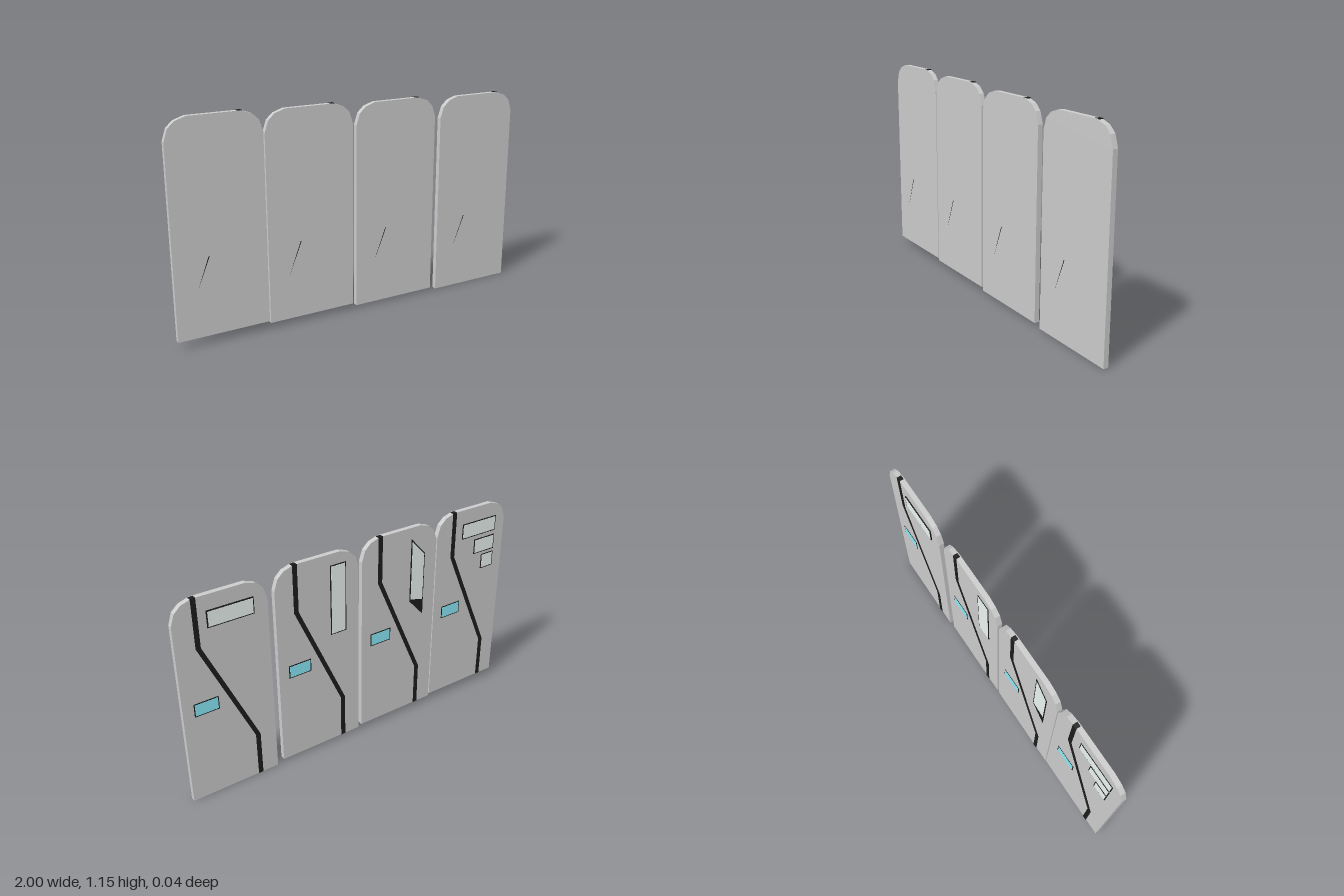
import * as THREE from 'three';

const WIDTH = 0.484, HEIGHT = 1.103, FRONT = 0.015, BACK = -0.012;

const mat = (color) => new THREE.MeshStandardMaterial({ color, flatShading: true });

// Flat slab from outline points [x, y], reaching from z0 to z1
function slab(name, points, z0, z1, material) {
  const shape = new THREE.Shape(points.map(([x, y]) => new THREE.Vector2(x, y)));
  const geometry = new THREE.ExtrudeGeometry(shape, { depth: z1 - z0, bevelEnabled: false });
  geometry.translate(0, 0, z0);
  const mesh = new THREE.Mesh(geometry, material);
  mesh.name = name;
  return mesh;
}

// Rectangle measured from the door's left edge (x = 0, running to -x)
const rect = (u0, u1, y0, y1) => [[-u1, y0], [-u0, y0], [-u0, y1], [-u1, y1]];

// Shrink a rectangle by a margin on all sides
const inset = ([[x0, y0], , [x1, y1]], m) => rect(-x1 + m, -x0 - m, y0 + m, y1 - m);

export function createModel() {
  const model = new THREE.Group();
  model.name = 'doorPanels';
  const grey = mat(0xcccccc), black = mat(0x1c1c1c);
  const glass = mat(0xeaf5f1), teal = mat(0x89eaf8);

  // Door outline with faceted round top corners
  const corner = [[0, 0.11], [0.02, 0.05], [0.055, 0.018], [0.11, 0]];
  const outline = [
    [-WIDTH, 0], [0, 0],
    ...corner.map(([x, d]) => [-x, HEIGHT - d]),
    ...corner.map(([x, d]) => [x - WIDTH, HEIGHT - d]).reverse(),
  ];

  // Cranked stripe running from top to bottom
  const path = [[-0.114, HEIGHT + 0.001], [-0.114, 0.847], [-0.381, 0.247], [-0.381, 0.001]];
  const half = 0.0125;
  const stripe = [
    ...path.map(([x, y]) => [x - half, y]),
    ...path.map(([x, y]) => [x + half, y]).reverse(),
  ];

  // Framed rectangle standing on the back face
  function framed(name, outer, depth, paneMaterial) {
    const group = new THREE.Group();
    group.name = name;
    group.add(slab(name + 'Frame', outer, BACK - depth, BACK + 0.003, black));
    group.add(slab(name + 'Pane', inset(outer, 0.005), BACK - depth - 0.001, BACK, paneMaterial));
    return group;
  }

  function door(name, x, y, z) {
    const group = new THREE.Group();
    group.name = name;
    group.position.set(x, y, z);
    group.add(slab('panel', outline, BACK, FRONT, grey));
    group.add(slab('stripe', stripe, BACK - 0.003, 0.01, black));
    // Thin edge of the stripe showing on the front
    group.add(slab('stripeSliver', [[-0.37, 0.245], [-0.301, 0.415], [-0.306, 0.415]], 0.01, FRONT + 0.0005, black));
    group.add(framed('handle', rect(0.058, 0.188, 0.488, 0.56), 0.002, teal));
    model.add(group);
    return group;
  }

  // Door with three stepped windows
  const stepped = door('steppedWindowDoor', -0.516, 0.042, 0);
  for (const [u, y0, y1] of [[0.177, 0.936, 1.022], [0.27, 0.826, 0.912], [0.33, 0.723, 0.809]]) {
    stepped.add(framed('window', rect(u, 0.417, y0, y1), 0.003, glass));
  }

  // Door with a slanted window, its lower end dark
  const slanted = door('slantedWindowDoor', -0.026, 0.03, 0);
  slanted.add(slab('slantedFrame', [[-0.406, 0.578], [-0.314, 0.679], [-0.314, 1.04], [-0.406, 0.941]],
    BACK - 0.003, BACK + 0.003, black));
  slanted.add(slab('slantedPane', [[-0.401, 0.67], [-0.32, 0.69], [-0.32, 1.025], [-0.401, 0.938]],
    BACK - 0.004, BACK, glass));

  // Door with a tall window
  door('tallWindowDoor', 0.477, 0.016, 0.003)
    .add(framed('window', rect(0.313, 0.406, 0.657, 1.042), 0.003, glass));

  // Door with a single wide window
  door('wideWindowDoor', 1, 0, 0)
    .add(framed('window', rect(0.169, 0.409, 0.938, 1.025), 0.006, glass));

  return model;
}
